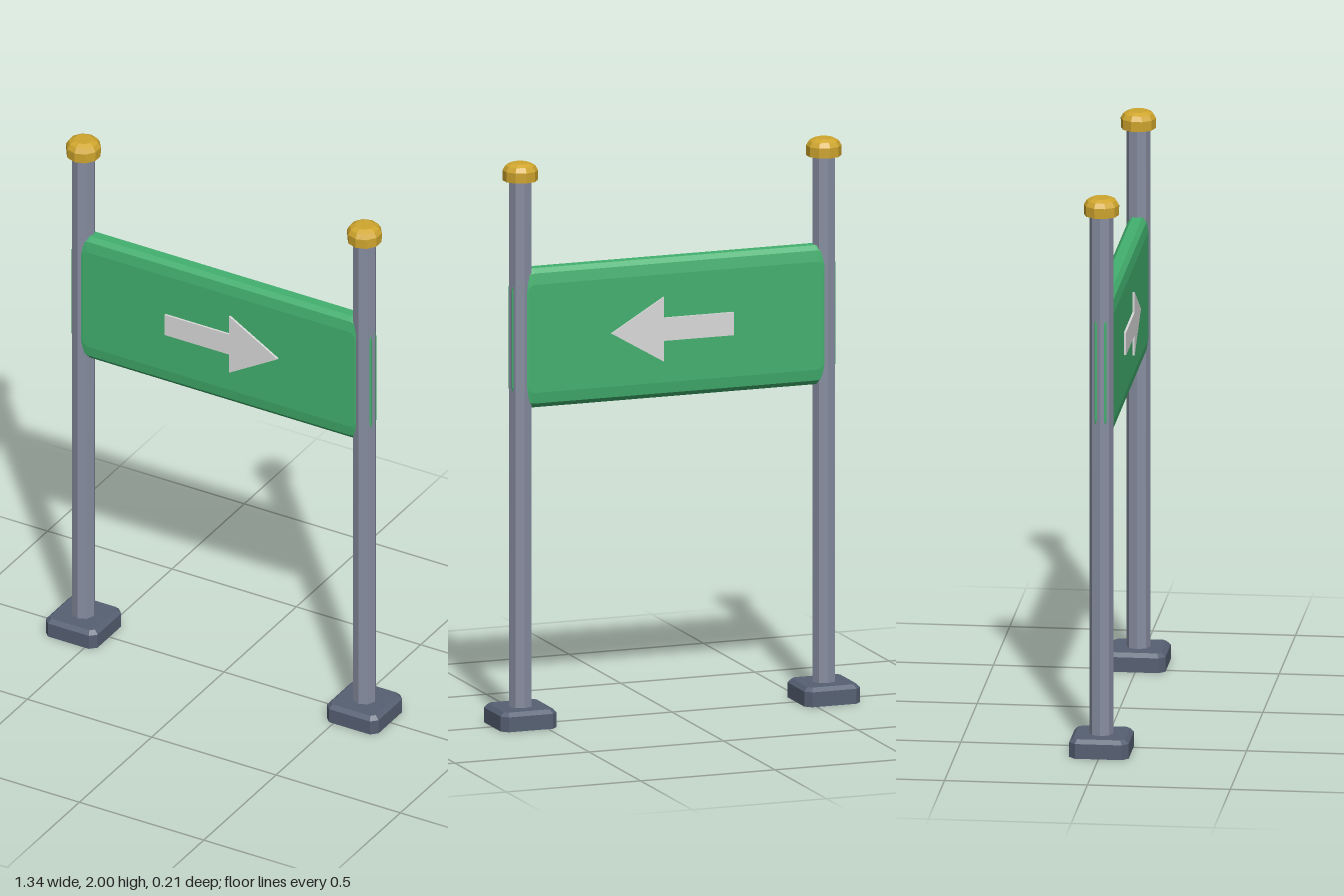
import * as THREE from 'three';

const mat = (name, color, flatShading = true) => {
  const m = new THREE.MeshStandardMaterial({ color, flatShading });
  m.name = name;
  return m;
};

// Square ring with chamfered corners, as [x, z] points
function chamferedSquare(h, c) {
  return [[h, h - c], [h - c, h], [c - h, h], [-h, h - c],
    [-h, c - h], [c - h, -h], [h - c, -h], [h, c - h]];
}

// Closed solid through stacked rings of { y, h, c }
function loft(levels) {
  const pos = [], idx = [], n = 8;
  levels.forEach(({ y, h, c }) => chamferedSquare(h, c).forEach(([x, z]) => pos.push(x, y, z)));
  for (let l = 0; l < levels.length - 1; l++) {
    for (let i = 0; i < n; i++) {
      const a = l * n + i, b = l * n + (i + 1) % n;
      idx.push(a, a + n, b, b, a + n, b + n);
    }
  }
  const t = (levels.length - 1) * n;
  for (let i = 1; i < n - 1; i++) {
    idx.push(0, i, i + 1);
    idx.push(t, t + i + 1, t + i);
  }
  const g = new THREE.BufferGeometry();
  g.setAttribute('position', new THREE.Float32BufferAttribute(pos, 3));
  g.setIndex(idx);
  const flat = g.toNonIndexed();
  flat.computeVertexNormals();
  return flat;
}

function roundedRect(w, h, r) {
  const s = new THREE.Shape();
  s.absarc(w - r, h - r, r, 0, Math.PI / 2);
  s.absarc(r - w, h - r, r, Math.PI / 2, Math.PI);
  s.absarc(r - w, r - h, r, Math.PI, Math.PI * 1.5);
  s.absarc(w - r, r - h, r, Math.PI * 1.5, Math.PI * 2);
  s.closePath();
  return s;
}

export function createModel() {
  const model = new THREE.Group();
  model.name = 'directionSign';
  const green = mat('sign green', 0x42b06e);
  const white = mat('arrow white', 0xd9d9d9);
  const steel = mat('post steel', 0x878da0);
  const slate = mat('base slate', 0x566073);
  const gold = mat('cap gold', 0xd0a62e);

  const add = (parent, name, geo, material) => {
    const m = new THREE.Mesh(geo, material);
    m.name = name;
    parent.add(m);
    return m;
  };

  // Posts with bases and faceted caps
  const baseGeo = loft([
    { y: 0, h: 0.104, c: 0.022 },
    { y: 0.053, h: 0.104, c: 0.022 },
    { y: 0.067, h: 0.09, c: 0.014 },
  ]);
  const postGeo = new THREE.CylinderGeometry(0.042, 0.042, 1.92, 8);
  const capGeo = new THREE.LatheGeometry([
    [0, 1.938], [0.061, 1.938], [0.062, 1.974], [0.052, 1.991], [0.034, 2], [0, 2],
  ].map(([x, y]) => new THREE.Vector2(x, y)), 10);

  for (const [side, x] of [['left', 0.565], ['right', -0.565]]) {
    const g = new THREE.Group();
    g.name = side + 'PostAssembly';
    g.position.x = x;
    add(g, side + 'Base', baseGeo, slate);
    add(g, side + 'Post', postGeo, steel).position.y = 1.0;
    add(g, side + 'Cap', capGeo, gold);
    model.add(g);
  }

  // Sign panel with softly bevelled rim
  const bevel = 0.055, core = 0.036;
  const panelGeo = new THREE.ExtrudeGeometry(roundedRect(0.602 - bevel, 0.2475 - bevel, 0.025), {
    depth: core, bevelEnabled: true, bevelSize: bevel, bevelThickness: 0.02,
    bevelSegments: 2, curveSegments: 4,
  });
  panelGeo.translate(0, 1.377, -core / 2);
  add(model, 'signPanel', panelGeo, green);

  // Raised arrow on both faces, pointing to +x
  const arrow = new THREE.Shape([
    [-0.213, -0.041], [0.047, -0.041], [0.047, -0.115], [0.242, 0],
    [0.047, 0.115], [0.047, 0.041], [-0.213, 0.041],
  ].map(([x, y]) => new THREE.Vector2(x, y)));
  const arrowGeo = new THREE.ExtrudeGeometry(arrow, { depth: 0.009, bevelEnabled: false });
  add(model, 'frontArrow', arrowGeo, white).position.set(0, 1.375, 0.037);
  add(model, 'backArrow', arrowGeo, white).position.set(0, 1.375, -0.046);

  return model;
}
